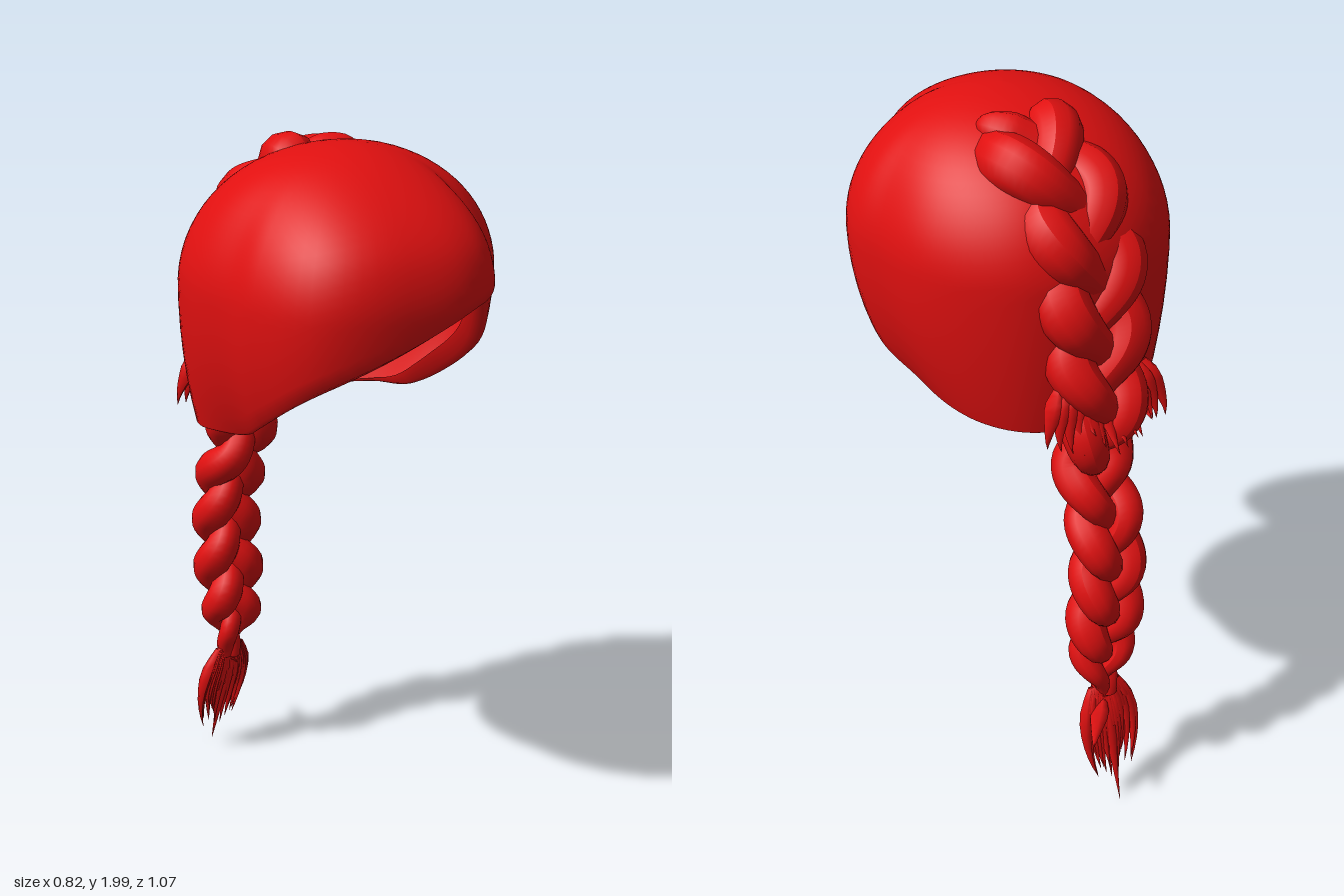
import * as THREE from 'three';

const hair = new THREE.MeshStandardMaterial({ color: 0xe01010, side: THREE.DoubleSide });
hair.name = 'red hair';

const V = (x, y, z) => new THREE.Vector3(x, y, z);
let seed = 7;
const rnd = () => (seed = (seed * 16807) % 2147483647) / 2147483647;
const { lerp, smoothstep } = THREE.MathUtils;

function add(group, geometry, name) {
  const mesh = new THREE.Mesh(geometry, hair);
  mesh.name = name;
  group.add(mesh);
}

// Tube whose radius follows a rule along its length
function taperedTube(curve, radius, segments, sides) {
  const geo = new THREE.TubeGeometry(curve, segments, 1, sides, false);
  const pos = geo.attributes.position;
  const p = V(0, 0, 0);
  for (let i = 0; i <= segments; i++) {
    const centre = curve.getPointAt(i / segments);
    const r = radius(i / segments);
    for (let j = 0; j <= sides; j++) {
      const k = i * (sides + 1) + j;
      p.fromBufferAttribute(pos, k).sub(centre).multiplyScalar(r).add(centre);
      pos.setXYZ(k, p.x, p.y, p.z);
    }
  }
  geo.computeVertexNormals();
  return geo;
}

// Cap: angle around the head (0 = front, 90 = left), radius, height of hairline
const hairline = new THREE.CatmullRomCurve3([
  [-180, 0.43, 1.21], [-153, 0.43, 1.21], [-134, 0.42, 1.22], [-115, 0.41, 1.24],
  [-90, 0.4, 1.27], [-74, 0.43, 1.33], [-48, 0.485, 1.46], [-18, 0.48, 1.57],
  [0, 0.488, 1.63], [11, 0.48, 1.65], [22, 0.45, 1.69], [28, 0.415, 1.715], [35, 0.38, 1.73],
  [43, 0.41, 1.59], [54, 0.43, 1.45], [74, 0.425, 1.33], [90, 0.4, 1.27],
  [115, 0.41, 1.24], [134, 0.42, 1.22], [153, 0.43, 1.21], [180, 0.43, 1.21],
].map((a) => V(...a)));

function capGeometry() {
  const cols = 120, rows = 24;
  // Rolled lower edge: radius factor and lift, fading out toward the nape
  const roll = [[0.96, -0.012], [0.9, 0], [0.86, 0.05]];
  const verts = [], index = [];
  const total = rows + roll.length;
  for (let i = 0; i <= total; i++) {
    for (let j = 0; j < cols; j++) {
      const h = hairline.getPoint(j / cols);
      const phi = THREE.MathUtils.degToRad(h.x);
      const yc = 1.62;
      const lower = 0.6 + 0.5 * Math.max(0, -Math.cos(phi)) ** 2;
      const end = h.z > yc ? Math.acos((h.z - yc) / 0.37) : Math.PI / 2 + Math.asin((yc - h.z) / lower);
      const s = Math.min(i / rows, 1);
      const a = end * s;
      let y = yc + Math.cos(a) * (a < Math.PI / 2 ? 0.37 : lower);
      let r = lerp(0.43, h.y, smoothstep(a, 0.3, 1.2)) * Math.sin(a);
      if (i > rows) {
        const [f, lift] = roll[i - rows - 1];
        const w = lerp(0.15, 1, smoothstep(Math.cos(phi), -0.5, 0.3));
        r *= lerp(1, f, w);
        y += lift * w;
      }
      verts.push(r * Math.sin(phi), y, r * Math.cos(phi) + 0.05 + 0.05 * (1 - s));
    }
  }
  for (let i = 0; i < total; i++) {
    for (let j = 0; j < cols; j++) {
      const a = i * cols + j, d = i * cols + ((j + 1) % cols);
      index.push(a, a + cols, d + cols, a, d + cols, d);
    }
  }
  const geo = new THREE.BufferGeometry();
  geo.setAttribute('position', new THREE.Float32BufferAttribute(verts, 3));
  geo.setIndex(index);
  geo.computeVertexNormals();
  return geo;
}

// Braid centre line from the crown over the back of the head and down
const spine = new THREE.CatmullRomCurve3([
  V(0.07, 1.925, 0.0), V(0.05, 1.88, -0.16), V(0.03, 1.77, -0.255), V(0.02, 1.6, -0.32),
  V(0.02, 1.4, -0.355), V(0.02, 1.25, -0.385), V(0.03, 1.1, -0.36), V(0.02, 0.9, -0.415),
  V(0.02, 0.7, -0.425), V(0.02, 0.5, -0.41), V(0.015, 0.34, -0.42),
]);
const turn = (u, k) => Math.PI * 2 * (2.9 * u + 0.6 * u * u + k / 3);

class BraidStrand extends THREE.Curve {
  constructor(k) {
    super();
    this.k = k;
  }
  getPoint(u, target = V(0, 0, 0)) {
    const t = turn(u, this.k);
    const out = spine.getTangentAt(u).cross(V(1, 0, 0)).normalize();
    const amp = lerp(lerp(0.09, 0.056, smoothstep(u, 0.3, 0.55)), 0.012, smoothstep(u, 0.9, 1));
    const depth = lerp(0.25, 0.55, smoothstep(u, 0.35, 0.55));
    const p = spine.getPointAt(u).addScaledVector(out, amp * depth * Math.sin(2 * t));
    p.x += amp * Math.sin(t);
    return target.copy(p);
  }
}

// Pointed lock: swells quickly from the root and runs out to a tip
function lock(root, mid, tip, width) {
  const curve = new THREE.QuadraticBezierCurve3(root, mid, tip);
  return taperedTube(curve, (u) => width * (u < 0.3 ? 0.4 + 2 * u : (1 - u) / 0.7) + 0.0005, 8, 5);
}

export function createModel() {
  const model = new THREE.Group();
  model.name = 'braidedHair';

  add(model, capGeometry(), 'hairCap');

  const braid = new THREE.Group();
  braid.name = 'braid';
  for (let k = 0; k < 3; k++) {
    const radius = (u) => {
      const size = lerp(lerp(0.07, 0.052, smoothstep(u, 0.3, 0.55)), 0.024, smoothstep(u, 0.86, 1));
      const lump = 0.82 + 0.25 * Math.sin(turn(u, k)) ** 2;
      return size * lump * Math.sqrt(Math.min(1, u / 0.04 + 0.01));
    };
    add(braid, taperedTube(new BraidStrand(k), radius, 160, 12), 'braidStrand');
  }
  model.add(braid);

  // Loose ends below the braid
  const tail = new THREE.Group();
  tail.name = 'braidTail';
  for (let i = 0; i < 18; i++) {
    const x = lerp(-0.085, 0.095, i / 17);
    const low = i === 9 ? 0 : 0.02 + 0.6 * Math.abs(x - 0.02) + 0.1 * rnd();
    const z = -0.53 + low * 0.4 + 0.02 * rnd();
    add(tail, lock(V(0.01 + x * 0.5, 0.37, -0.415), V(x * 1.3, 0.24, -0.445), V(0.01 + x * 0.7, low, z), 0.02), 'tailLock');
  }
  add(tail, lock(V(0.02, 0.33, -0.42), V(0.07, 0.26, -0.46), V(0.13, 0.27, -0.53), 0.03), 'tailLock');
  model.add(tail);

  // Short flyaway ends gathered at the nape
  const nape = new THREE.Group();
  nape.name = 'napeWisps';
  for (let i = 0; i < 14; i++) {
    const x = lerp(-0.15, 0.18, i / 13);
    const tip = V(x * 1.1, 1.18 + 0.07 * rnd(), -0.5 + Math.abs(x) * 0.5 + 0.03 * rnd());
    add(nape, lock(V(x * 0.8, 1.36, -0.36), V(x * 1.15, 1.26, -0.4), tip, 0.028), 'napeWisp');
  }
  model.add(nape);

  return model;
}
